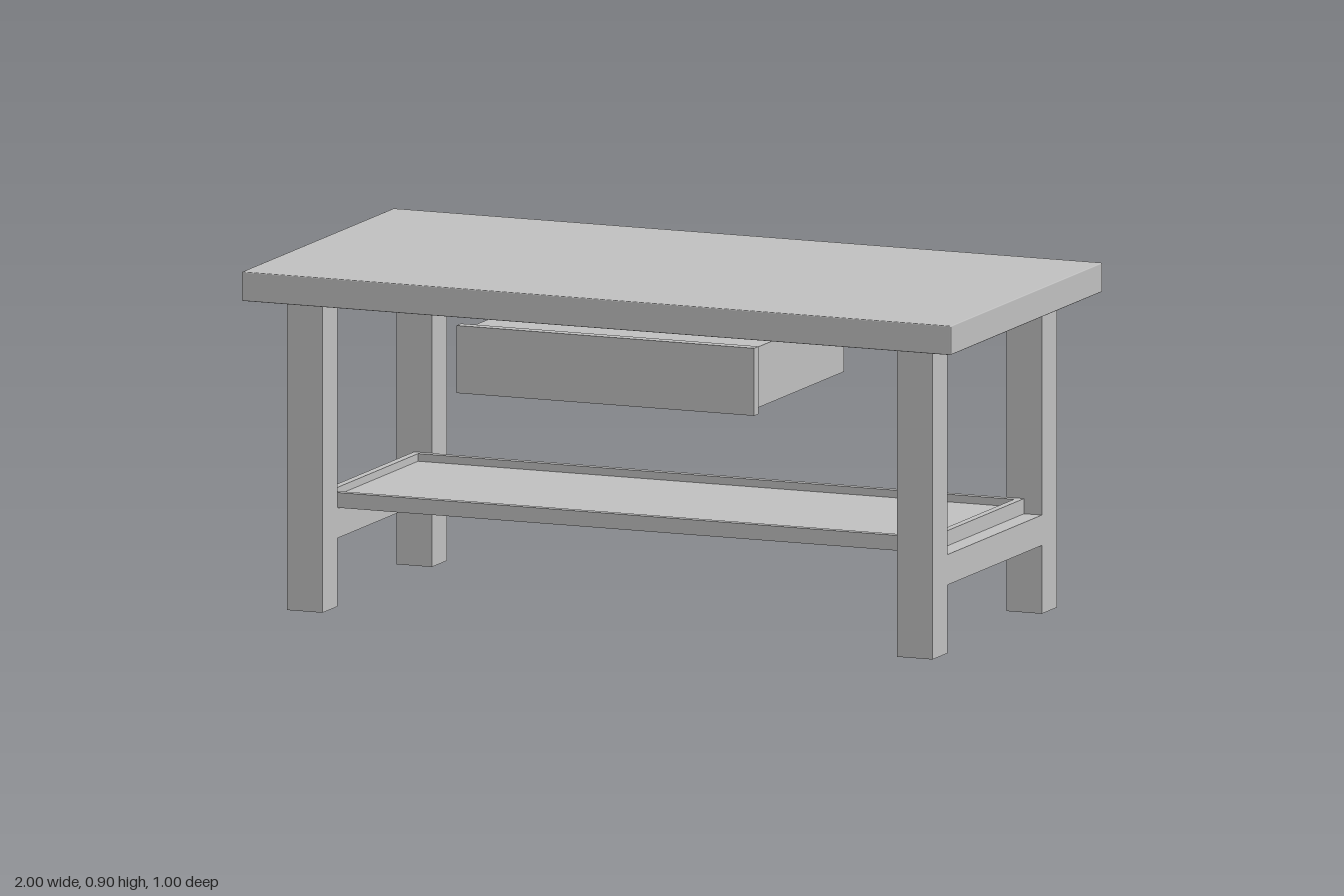
import * as THREE from 'three';
import { RoundedBoxGeometry } from 'three/addons/geometries/RoundedBoxGeometry.js';

export function createModel() {
  const table = new THREE.Group();
  table.name = 'workTable';

  const grey = new THREE.MeshStandardMaterial({ color: 0xbfbfbf });
  grey.name = 'plain grey';

  const add = (name, geometry, x, y, z) => {
    const mesh = new THREE.Mesh(geometry, grey);
    mesh.name = name;
    mesh.position.set(x, y, z);
    table.add(mesh);
  };
  // Box given by its limits on each axis
  const box = (name, [x0, x1], [y0, y1], [z0, z1]) =>
    add(name, new THREE.BoxGeometry(x1 - x0, y1 - y0, z1 - z0),
      (x0 + x1) / 2, (y0 + y1) / 2, (z0 + z1) / 2);

  // Thick top with barely softened edges
  add('tableTop', new RoundedBoxGeometry(2, 0.077, 1, 1, 0.003), 0, 0.8615, 0);

  // Four legs, and a low rail joining each end pair flush
  for (const [side, sx] of [['left', 1], ['right', -1]]) {
    for (const [end, sz] of [['Front', 1], ['Back', -1]]) {
      add(`${side}${end}Leg`, new THREE.BoxGeometry(0.1, 0.823, 0.1), sx * 0.86, 0.4115, sz * 0.36);
    }
    add(`${side}Rail`, new THREE.BoxGeometry(0.1, 0.08, 0.62), sx * 0.86, 0.22, 0);
  }

  // Lower shelf resting on the rails, with a raised lip all round
  const sw = 0.86, sd = 0.31, lip = 0.02;
  box('shelf', [-sw, sw], [0.26, 0.28], [-sd, sd]);
  const rim = new THREE.Shape([
    new THREE.Vector2(-sw, -sd), new THREE.Vector2(sw, -sd),
    new THREE.Vector2(sw, sd), new THREE.Vector2(-sw, sd),
  ]);
  rim.holes.push(new THREE.Path([
    new THREE.Vector2(-sw + lip, -sd + lip), new THREE.Vector2(-sw + lip, sd - lip),
    new THREE.Vector2(sw - lip, sd - lip), new THREE.Vector2(sw - lip, -sd + lip),
  ]));
  const rimGeometry = new THREE.ExtrudeGeometry(rim, { depth: 0.02, bevelEnabled: false });
  rimGeometry.rotateX(-Math.PI / 2);
  add('shelfLip', rimGeometry, 0, 0.28, 0);

  // Drawer hung below the top, with an overhanging front panel
  box('drawerBox', [-0.4, 0.4], [0.62, 0.78], [-0.2, 0.41]);
  box('drawerFront', [-0.42, 0.42], [0.612, 0.79], [0.41, 0.44]);

  return table;
}
